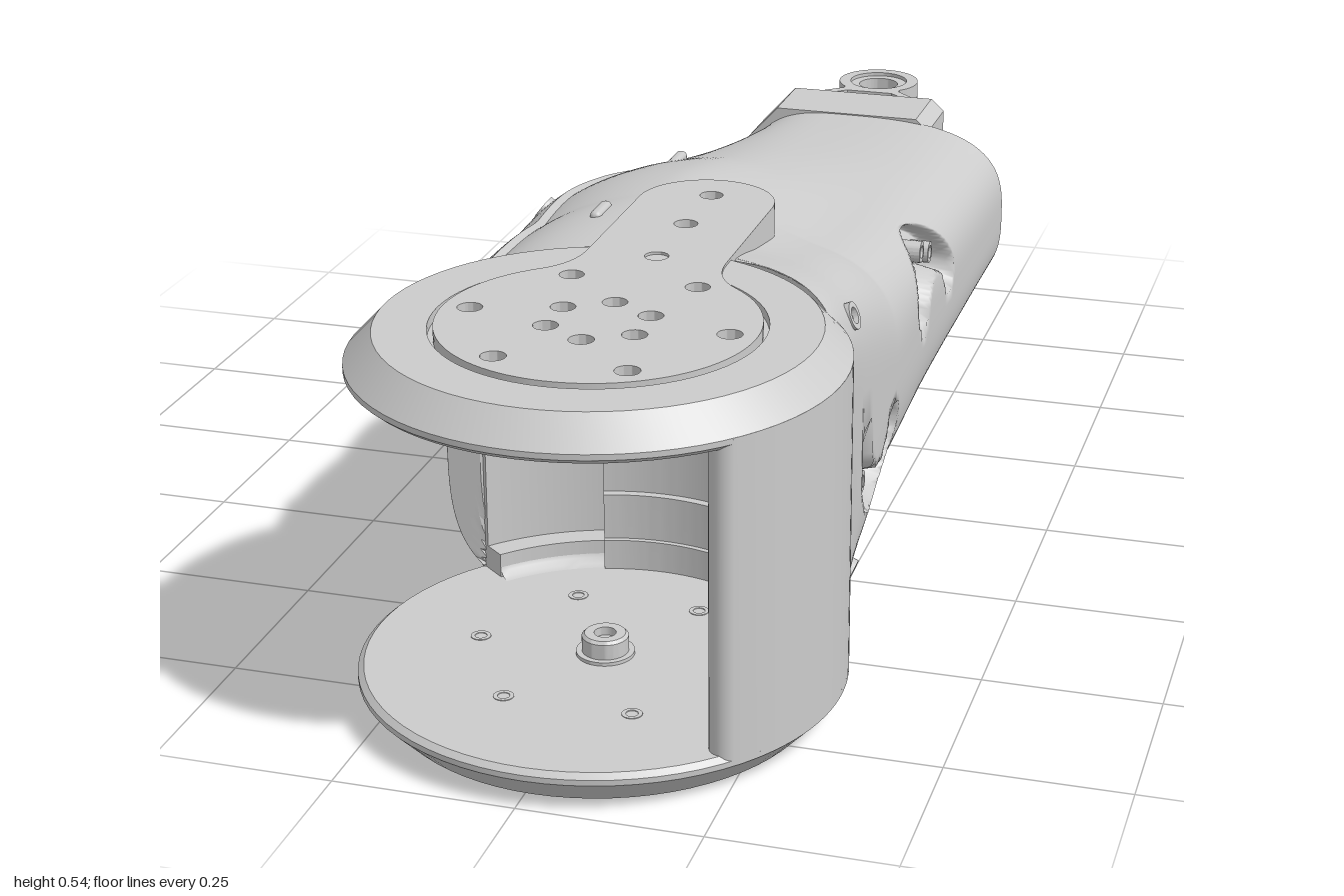
import * as THREE from 'three';
import { toCreasedNormals } from 'three/addons/utils/BufferGeometryUtils.js';
import { RoundedBoxGeometry } from 'three/addons/geometries/RoundedBoxGeometry.js';

const CX = 0.01, CZ = 0.665, RAD = Math.PI / 180;
const mat = new THREE.MeshStandardMaterial({ color: 0xcccccc });
const thin = new THREE.MeshStandardMaterial({ color: 0xcccccc, side: THREE.DoubleSide });

// Evenly spaced stations of the arm shell, from the joint (z 0.44) to the rear (z -0.68)
const spline = a => new THREE.SplineCurve(a.map((v, i) => new THREE.Vector2(i, v)));
const LEFT = spline([0.292, 0.318, 0.337, 0.34, 0.32, 0.284, 0.24, 0.197, 0.167]);
const RIGHT = spline([0.305, 0.293, 0.29, 0.29, 0.29, 0.29, 0.29, 0.29, 0.29]);
const TOP = spline([0.53, 0.533, 0.537, 0.532, 0.507, 0.473, 0.447, 0.43, 0.42]);
const BOTTOM = spline([0.012, 0.02, 0.027, 0.042, 0.064, 0.08, 0.09, 0.097, 0.1]);
const DROP = spline([0, 0.03, 0.055, 0.07, 0.06, 0.035, 0.015, 0.005, 0]);

// Round saddle that ends the shell at the joint
const saddleZ = x => Math.min(x < 0 ? 0.46 : 0.5, CZ - Math.sqrt(Math.max(0, 0.32 ** 2 - (x - CX) ** 2)));

// Point on the shell at station t and section angle a, moved outward by off
function shellPoint(t, a, off = 0) {
  const c = Math.cos(a), s = Math.sin(a);
  const n = c > 0 ? 3 + 4 * Math.max(0, 1 - t / 0.3) : 2.2 + t * 0.6 + 1.5 * Math.max(0, 1 - t / 0.25);
  const w = (c > 0 ? RIGHT : LEFT).getPoint(t).y + off;
  const top = TOP.getPoint(t).y, bot = BOTTOM.getPoint(t).y;
  const x = Math.sign(c) * Math.abs(c) ** (2 / n) * w;
  const v = Math.sign(s) * Math.abs(s) ** (2 / n);
  // the roof slopes down towards the right shoulder
  const drop = DROP.getPoint(t).y * THREE.MathUtils.smoothstep(x, -0.08, 0.17) * Math.max(0, v);
  const y = (top + bot) / 2 + v * ((top - bot) / 2 + off) - drop;
  return [x, y, 0.44 - 1.12 * t + (saddleZ(x) - 0.44) * Math.max(0, 1 - t / 0.35)];
}

// Kidney-shaped slots in the right-hand wall: arc centre, opening up or down
const SLOTS = [{ z: 0.22, y: 0.245, up: -1 }, { z: -0.155, y: 0.275, up: 1 }];
function sinkSlots([x, y, z]) {
  let depth = 0;
  if (x > 0.1) for (const s of SLOTS) {
    const u = s.z - z, v = (y - s.y) * s.up;
    const b = THREE.MathUtils.clamp(Math.atan2(u, v), -65 * RAD, 65 * RAD);
    const d = Math.hypot(u - 0.1 * Math.sin(b), v - 0.1 * Math.cos(b));
    depth += 0.04 * (1 - THREE.MathUtils.smoothstep(d, 0.025, 0.035));
  }
  return [x - depth, y, z];
}

// Grid surface from a rule fn(i, j)
function grid(rows, cols, fn, closed) {
  const pos = [], idx = [], per = closed ? cols : cols + 1;
  for (let i = 0; i <= rows; i++) for (let j = 0; j < per; j++) pos.push(...fn(i, j));
  for (let i = 0; i < rows; i++) for (let j = 0; j < cols; j++) {
    const k = (j + 1) % per, a = i * per + j, b = i * per + k;
    idx.push(a, a + per, b, b, a + per, b + per);
  }
  const g = new THREE.BufferGeometry();
  g.setAttribute('position', new THREE.Float32BufferAttribute(pos, 3));
  g.setIndex(idx);
  g.computeVertexNormals();
  return g;
}

// Extrude a plan shape (x, -z) upward from y0 to y1
function slab(shape, y0, y1) {
  const g = new THREE.ExtrudeGeometry(shape, { depth: y1 - y0, bevelEnabled: false, curveSegments: 40 });
  return toCreasedNormals(g.rotateX(-Math.PI / 2).translate(0, y0, 0), 0.5);
}

function band(r0, r1, a0, a1) {
  const s = new THREE.Shape();
  s.absarc(CX, -CZ, r1, a0 * RAD, a1 * RAD, false);
  s.absarc(CX, -CZ, r0, a1 * RAD, a0 * RAD, true);
  return s;
}

function circle(x, y, r) {
  return new THREE.Path().absarc(x, y, r, 0, Math.PI * 2, true);
}

// Key-shaped cover plate with screw holes
function keyShape(inner) {
  const s = new THREE.Shape();
  s.absarc(CX, -CZ, 0.215, 130 * RAD, 410 * RAD, false);
  s.quadraticCurveTo(CX + 0.1, -0.468, CX + 0.1, -0.41);
  s.absarc(CX, -0.17, 0.1, 0, Math.PI, false);
  s.lineTo(CX - 0.1, -0.41);
  s.quadraticCurveTo(CX - 0.1, -0.468, CX + 0.215 * Math.cos(130 * RAD), -CZ + 0.215 * Math.sin(130 * RAD));
  for (const z of [0.14, 0.27, 0.41]) s.holes.push(circle(CX, -z, 0.017));
  for (let i = 0; i < 6; i++) {
    const a = i * 60 * RAD, b = a + 30 * RAD;
    s.holes.push(circle(CX + 0.178 * Math.cos(a), -CZ + 0.178 * Math.sin(a), 0.017));
    if (inner) s.holes.push(circle(CX + 0.07 * Math.cos(b), -CZ + 0.07 * Math.sin(b), 0.017));
  }
  return s;
}

function lathe(points, sides = 72) {
  return toCreasedNormals(new THREE.LatheGeometry(points.map(p => new THREE.Vector2(...p)), sides), 0.5);
}

export function createModel() {
  const model = new THREE.Group();
  const add = (name, geo, p = [0, 0, 0], m = mat) => {
    const mesh = new THREE.Mesh(geo, m);
    mesh.name = name;
    mesh.position.set(...p);
    model.add(mesh);
    return mesh;
  };

  // Arm shell with sunken slots, its rear cap and its saddle-shaped front
  const ring = (t, j) => sinkSlots(shellPoint(t, j / 200 * Math.PI * 2, -0.002));
  add('armShell', grid(150, 200, (i, j) => ring(i / 150, j), true), [0, 0, 0], thin);
  const rim = Array.from({ length: 200 }, (_, j) => new THREE.Vector2(...ring(1, j)));
  add('shellRearCap', new THREE.ShapeGeometry(new THREE.Shape(rim)), [0, 0, -0.68], thin);
  add('saddleFront', toCreasedNormals(grid(32, 60, (i, j) => {
    const a = (i / 32 - 0.5) * Math.PI, u = j / 60;
    const p = shellPoint(0, Math.PI - a, -0.002), q = shellPoint(0, a, -0.002);
    const x = p[0] + (q[0] - p[0]) * u;
    return [x, p[1] + (q[1] - p[1]) * u, saddleZ(x)];
  }), 0.5), [0, 0, 0], thin);

  // Raised left side cover, its border sunk into the shell
  add('sideCover', toCreasedNormals(grid(40, 32, (i, j) => {
    const edge = i === 0 || i === 40 || j === 0 || j === 32;
    const u = i / 40, half = 49 * RAD * (1 - 0.5 * Math.max(0, (u - 0.8) / 0.2) ** 2);
    return shellPoint(0.01 + 0.713 * u, Math.PI + (j / 16 - 1) * half, edge ? -0.008 : 0.007);
  }), 0.6), [0, 0, 0], thin);

  // Chamfered joint plates, each with a recess for its key plate
  const profile = [[0, 0.014], [0.223, 0.014], [0.223, 0], [0.295, 0], [0.333, 0.04], [0.333, 0.048], [0.325, 0.055], [0, 0.055]];
  add('lowerJointPlate', lathe(profile), [CX, 0, CZ]);
  add('upperJointPlate', lathe(profile.map(([r, y]) => [r, 0.535 - y]).reverse()), [CX, 0, CZ]);
  add('upperKeyPlate', slab(keyShape(true), 0.485, 0.539));
  add('lowerKeyPlate', slab(keyShape(false), 0.002, 0.036));

  // Saddle wall between the plates, with a rounded end, a pocket and a ledge
  add('saddleWall', slab(band(0.315, 0.333, -42, 140), 0.04, 0.495));
  add('saddleLining', slab(band(0.28, 0.316, -38, 108), 0.05, 0.49));
  add('pocketHeader', slab(band(0.28, 0.316, 108, 140), 0.33, 0.49));
  add('pocketSill', slab(band(0.28, 0.316, 108, 140), 0.05, 0.09));
  add('saddleLedge', slab(band(0.267, 0.282, -10, 108), 0.1, 0.168));
  add('saddleLedge', slab(band(0.259, 0.282, -10, 108), 0.05, 0.1));
  const ex = CX + 0.3115 * Math.cos(42 * RAD), ez = CZ + 0.3115 * Math.sin(42 * RAD);
  add('wallEnd', new THREE.CylinderGeometry(0.0215, 0.0215, 0.45, 24), [ex, 0.268, ez]);

  // Concave fillets where the wall meets the plates
  const fillet = [[0.287, 0.055], [0.263, 0.055], [0.272, 0.0575], [0.2785, 0.064], [0.281, 0.073], [0.287, 0.073]];
  for (const up of [false, true]) {
    const pts = fillet.map(([r, y]) => new THREE.Vector2(r, up ? 0.535 - y : y));
    add('wallFillet', toCreasedNormals(new THREE.LatheGeometry(pts, 64, 55 * RAD, 175 * RAD), 0.6), [CX, 0, CZ], thin);
  }
  const socket = add('pocketConnector', new RoundedBoxGeometry(0.085, 0.098, 0.04, 3, 0.015), [-0.13, 0.267, 0.375]);
  socket.rotation.y = 28 * RAD;
  add('frontLatch', new RoundedBoxGeometry(0.027, 0.058, 0.02, 3, 0.009), [-0.265, 0.268, 0.459]);

  // Hub and post inside the joint
  add('upperHub', new THREE.CylinderGeometry(0.105, 0.105, 0.04, 48), [0.015, 0.468, CZ]);
  add('lowerPost', lathe([[0.04, 0], [0.04, 0.006], [0.032, 0.006], [0.032, 0.028], [0.028, 0.032], [0.015, 0.032], [0.015, 0.02], [0, 0.02]]), [0.012, 0.054, CZ]);

  // Screws: the axis points along dir
  const screw = (p, dir, r = 0.02, h = 0.03) => {
    const g = lathe([[r, -h], [r, 0], [r * 0.6, 0], [r * 0.5, -h * 0.4], [0, -h * 0.4]], 20);
    add('screw', g, p).quaternion.setFromUnitVectors(new THREE.Vector3(0, 1, 0), new THREE.Vector3(...dir).normalize());
  };
  for (let i = 0; i < 6; i++) {
    const a = i * 60 * RAD;
    screw([CX + 0.178 * Math.cos(a), 0.056, CZ + 0.178 * Math.sin(a)], [0, 1, 0], 0.014, 0.01);
  }
  // Right shell, block sides, left cover
  for (const [t, a, dy] of [[0.1, 32, 0.4], [0.1, -29, -0.4], [0.92, -46, -0.8]]) screw(shellPoint(t, a * RAD, 0.004), [1, dy, 0]);
  for (const side of [-1, 1]) screw([side * 0.162 - 0.004, 0.255, -0.715], [side, 0, 0], 0.012, 0.02);
  for (const [t, a] of [[0.09, 148], [0.09, 212], [0.36, 142], [0.36, 218], [0.68, 180]]) {
    screw(shellPoint(t, a * RAD, 0.01), [Math.cos(a * RAD), Math.sin(a * RAD), 0], 0.02, 0.04);
  }
  // Adjusters inside the slots
  for (const s of SLOTS) for (const d of [-38, 0, 38]) {
    screw([0.262, s.y + s.up * 0.098 * Math.cos(d * RAD), s.z + 0.098 * Math.sin(d * RAD)], [1, 0, 0], 0.017, 0.04);
  }

  // Small slits on the top of the shell
  for (const [y, z] of [[0.475, -0.17], [0.517, 0.21]]) add('topSlit', new RoundedBoxGeometry(0.018, 0.03, 0.06, 2, 0.008), [-0.137, y, z]);

  // Rear block with cut left corners
  const block = new THREE.Shape([
    [-0.165, 0.16], [-0.11, 0.1], [0.135, 0.1], [0.157, 0.12], [0.157, 0.4], [0.135, 0.42], [-0.11, 0.42], [-0.165, 0.36],
  ].map(p => new THREE.Vector2(...p)));
  add('rearBlock', new THREE.ExtrudeGeometry(block, { depth: 0.125, bevelEnabled: false }), [0, 0, -0.8]);

  // Pair of forked rear lugs with bearing rings
  const lug = new THREE.Shape();
  lug.moveTo(0.105, 0.79);
  lug.lineTo(0.105, 0.83);
  lug.lineTo(0.06, 0.872);
  lug.absarc(CX, 0.93, 0.07, -45 * RAD, 225 * RAD, false);
  lug.lineTo(-0.04, 0.872);
  for (const [x, y] of [[-0.09, 0.83], [-0.09, 0.79], [-0.06, 0.79], [-0.06, 0.832], [-0.03, 0.858], [0.05, 0.858], [0.08, 0.832], [0.08, 0.79]]) lug.lineTo(x, y);
  lug.holes.push(circle(CX, 0.93, 0.05));
  for (const y of [0.148, 0.388]) {
    add('rearLug', slab(lug, y - 0.018, y + 0.018));
    add('bearingRing', lathe([[0.034, -0.012], [0.051, -0.012], [0.051, 0.012], [0.034, 0.012], [0.034, -0.012]]), [CX, y, -0.93]);
  }
  return model;
}
